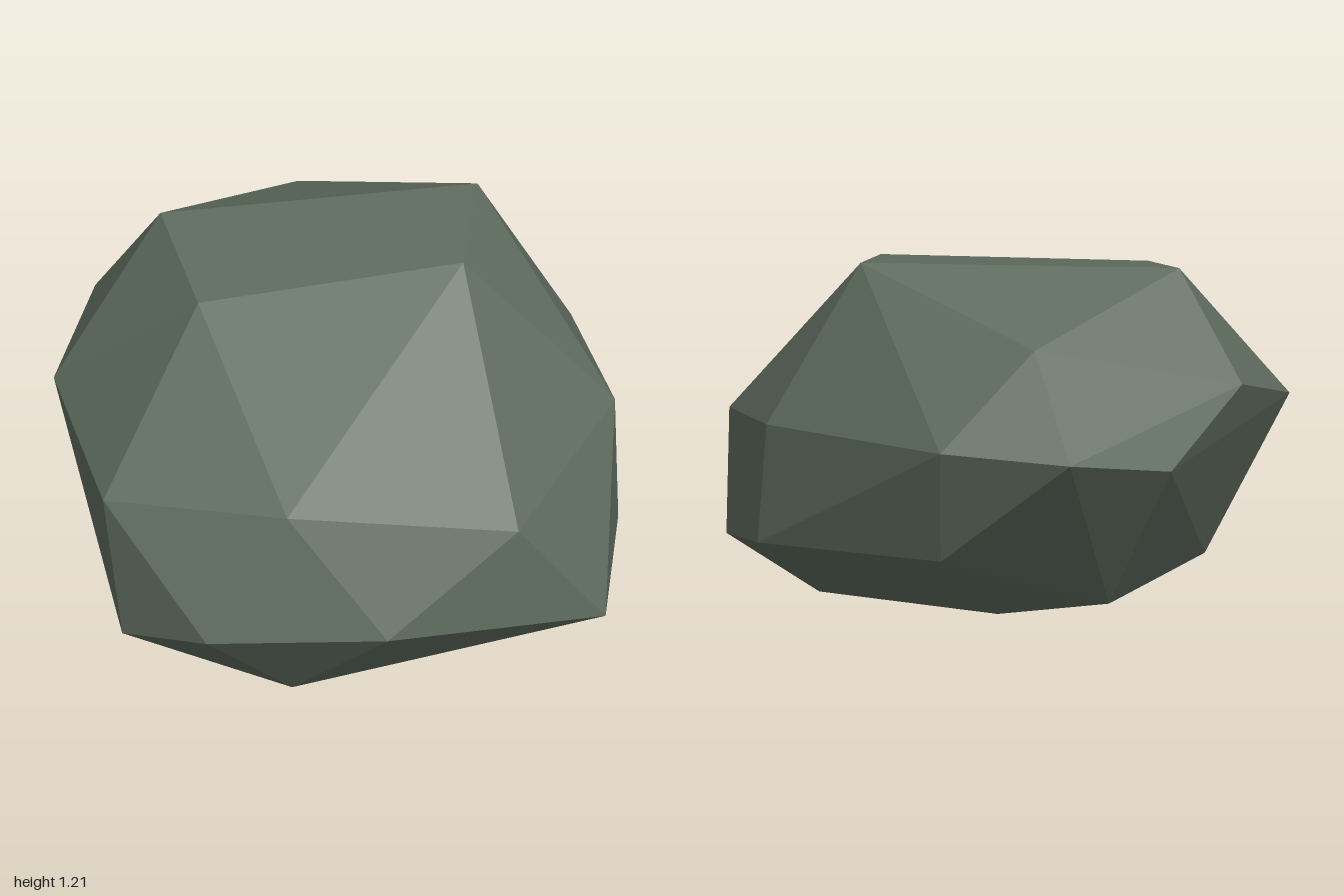
import * as THREE from 'three';
import { ConvexGeometry } from 'three/addons/geometries/ConvexGeometry.js';

// Rock corners, ring by ring, as [x, y, z]
const RINGS = {
  crown: [[-0.57, 1.17, -0.33], [0.48, 1.205, -0.43], [0.42, 1.15, -0.01], [-0.46, 1.1, 0.14]],
  shoulder: [[-0.1, 0.99, -0.83], [0.27, 0.82, -0.74], [-0.78, 0.81, -0.48]],
  waist: [
    [-0.22, 0.635, -1], [0.21, 0.66, -0.92], [0.79, 0.67, -0.48], [0.92, 0.63, 0.01], [0.58, 0.54, 0.71],
    [-0.19, 0.71, 0.89], [-0.79, 0.65, 0.65], [-0.93, 0.7, -0.07], [-0.55, 0.575, -0.78],
  ],
  skirt: [
    [0.21, 0.27, -0.78], [0.82, 0.26, -0.42], [0.93, 0.2, 0.04], [0.87, 0.16, 0.62],
    [0.14, 0.27, 0.95], [-0.46, 0.3, 1], [-0.73, 0.2, 0.75], [-0.65, 0.16, -0.07],
  ],
  foot: [[-0.34, 0.07, -0.48], [0.03, 0, -0.31], [0.62, 0.05, -0.19], [0.21, 0.045, 0.44], [-0.17, 0, 0.78]],
};

// Wraps a skin over the corners. Corners are eased outwards to a sphere while
// wrapping, so shallow dents keep their corners, then set back in place.
function wrapCorners(corners, ease) {
  const centre = new THREE.Vector3(0, 0.55, 0);
  const eased = corners.map((p) => {
    const d = p.clone().sub(centre);
    return d.clone().lerp(d.clone().normalize(), ease);
  });
  const geometry = new ConvexGeometry(eased);
  const position = geometry.attributes.position;
  const v = new THREE.Vector3();
  for (let i = 0; i < position.count; i++) {
    v.fromBufferAttribute(position, i);
    let best = 0;
    eased.forEach((p, j) => {
      if (p.distanceToSquared(v) < eased[best].distanceToSquared(v)) best = j;
    });
    position.setXYZ(i, ...corners[best].toArray());
  }
  geometry.computeVertexNormals();
  return geometry;
}

export function createModel() {
  const stone = new THREE.MeshStandardMaterial({ color: 0x5e6b5e, flatShading: true });
  stone.name = 'mossy stone';

  const corners = Object.values(RINGS).flat().map((p) => new THREE.Vector3(...p));
  const rock = new THREE.Mesh(wrapCorners(corners, 0.18), stone);
  rock.name = 'rock';

  const model = new THREE.Group();
  model.name = 'boulder';
  model.add(rock);
  return model;
}
